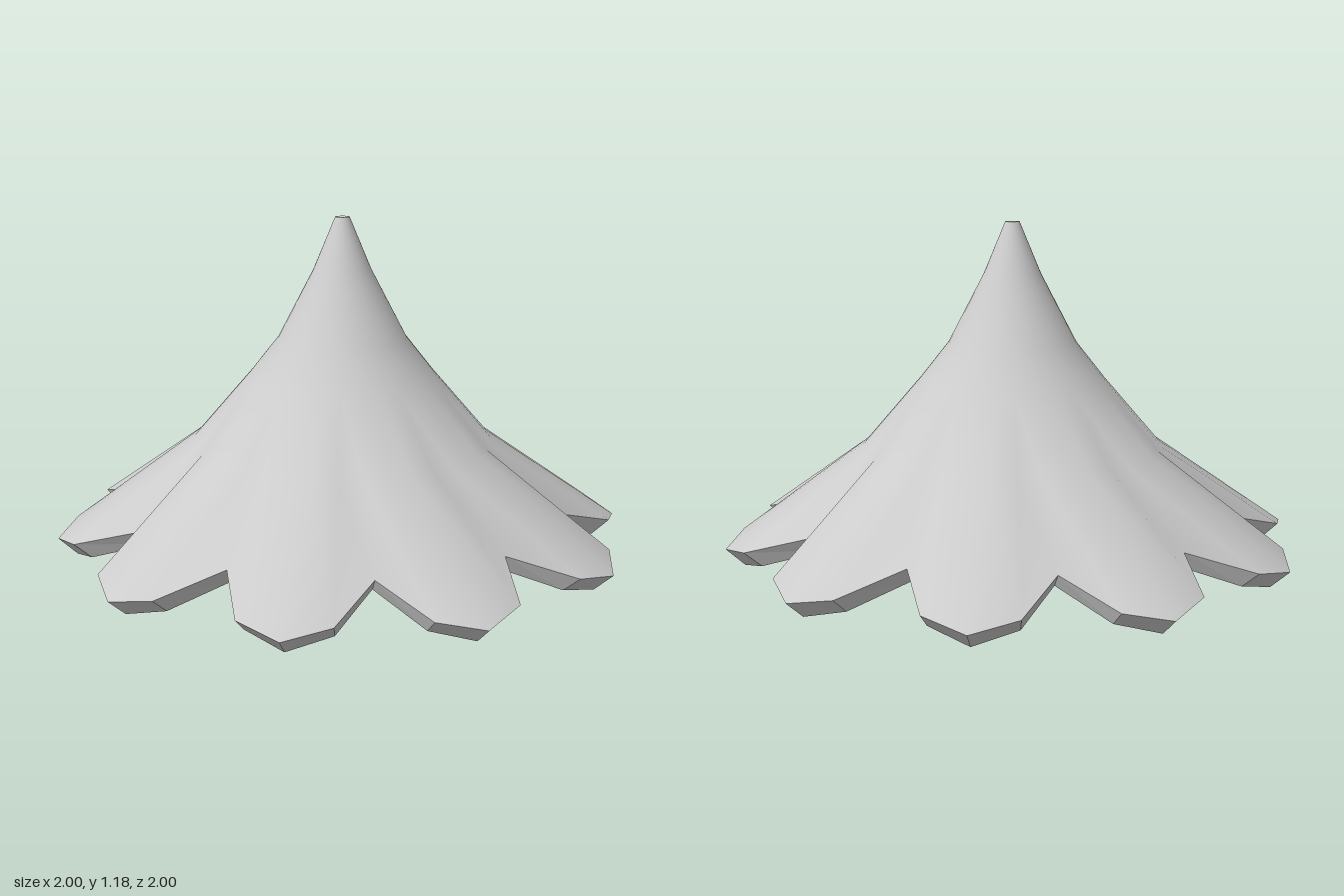
import * as THREE from 'three';

const LOBES = 10;
const SEGMENTS = LOBES * 4;

// A plain circular ring, and a scalloped ring given as [mid, tip, mid, valley]
const circle = (r, y) => () => [r, y];
const scallop = (mid, tip, valley) => (j) => [mid, tip, mid, valley][j % 4];

// Skin a closed surface through rings listed from the top, round and under
function loft(rings, smooth) {
  const positions = [];
  const indices = [];
  rings.forEach((ring, i) => {
    for (let j = 0; j < SEGMENTS; j++) {
      const angle = (j / SEGMENTS) * Math.PI * 2;
      const [r, y] = ring(j);
      positions.push(r * Math.cos(angle), y, r * Math.sin(angle));
      if (i === rings.length - 1) continue;
      const a = i * SEGMENTS + j;
      const b = i * SEGMENTS + ((j + 1) % SEGMENTS);
      const c = a + SEGMENTS;
      const d = b + SEGMENTS;
      indices.push(a, b, c, b, d, c);
    }
  });
  let geometry = new THREE.BufferGeometry();
  geometry.setAttribute('position', new THREE.Float32BufferAttribute(positions, 3));
  geometry.setIndex(indices);
  if (!smooth) geometry = geometry.toNonIndexed();
  geometry.computeVertexNormals();
  return geometry;
}

export function createModel() {
  const group = new THREE.Group();
  group.name = 'scallopedCone';
  const smoothMaterial = new THREE.MeshStandardMaterial({ color: 0xcccccc });
  const flatMaterial = new THREE.MeshStandardMaterial({ color: 0xcccccc, flatShading: true });

  const add = (name, geometry, material) => {
    const mesh = new THREE.Mesh(geometry, material);
    mesh.name = name;
    group.add(mesh);
    return mesh;
  };

  const rimTop = scallop([0.96, 0.09], [1.012, 0.06], [0.76, 0.155]);
  const rimBottom = scallop([0.9, 0.037], [0.947, 0], [0.71, 0.105]);
  const lipRing = circle(0.68, 0.11);
  const discRing = circle(0.64, 0.21);

  // Flared upper surface ending in rounded lobes
  add('roof', loft([
    circle(0.025, 1.18),
    circle(0.1, 1.0),
    circle(0.225, 0.76),
    circle(0.325, 0.633),
    circle(0.525, 0.4),
    rimTop,
  ], true), smoothMaterial);

  // Small flat tip
  const tip = add('tip', new THREE.CircleGeometry(0.025, SEGMENTS), smoothMaterial);
  tip.rotation.x = -Math.PI / 2;
  tip.position.y = 1.18;

  // Bevelled edge, lobe undersides and the wall up to the base
  add('rim', loft([rimTop, rimBottom], false), flatMaterial);
  add('lobeUndersides', loft([rimBottom, lipRing], false), flatMaterial);
  add('innerWall', loft([lipRing, discRing], false), flatMaterial);

  // Recessed flat base with a round centre
  const base = add('base', new THREE.RingGeometry(0.15, 0.64, SEGMENTS), flatMaterial);
  const hub = add('baseCentre', new THREE.CircleGeometry(0.15, SEGMENTS), flatMaterial);
  for (const disc of [base, hub]) {
    disc.rotation.x = Math.PI / 2;
    disc.position.y = 0.21;
  }

  return group;
}
